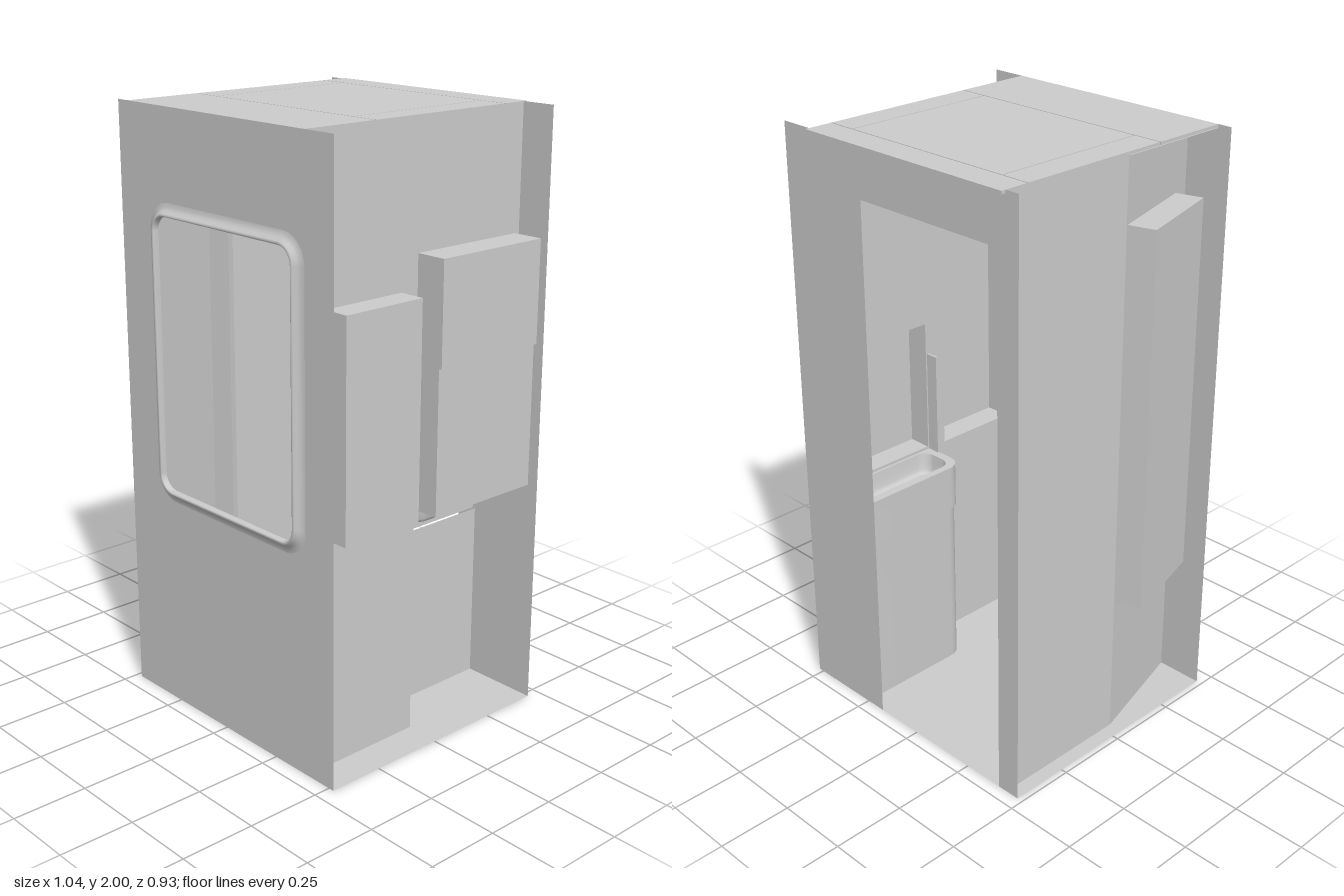
import * as THREE from 'three';

const mat = new THREE.MeshStandardMaterial({ color: 0xcccccc, side: THREE.DoubleSide });
const FRONT = 0.443, BACK = -0.453, LEFT = 0.40, RIGHT = -0.43;

function mesh(name, geometry, parent) {
  const m = new THREE.Mesh(geometry, mat);
  m.name = name;
  parent.add(m);
  return m;
}

// Corner points of a rounded rectangle, anticlockwise
function roundRect(x0, y0, x1, y1, r, n = 6) {
  const pts = [];
  [[x1 - r, y1 - r], [x0 + r, y1 - r], [x0 + r, y0 + r], [x1 - r, y0 + r]].forEach(([cx, cy], q) => {
    for (let i = 0; i <= n; i++) {
      const a = (q + i / n) * Math.PI / 2;
      pts.push(new THREE.Vector2(cx + r * Math.cos(a), cy + r * Math.sin(a)));
    }
  });
  return pts;
}

const rect = (x0, y0, x1, y1) => [[x0, y0], [x1, y0], [x1, y1], [x0, y1]].map(p => new THREE.Vector2(...p));

function sheet(outline, holes = []) {
  const s = new THREE.Shape(outline);
  holes.forEach(h => s.holes.push(new THREE.Path(h)));
  return new THREE.ShapeGeometry(s);
}

// Joins rows of points into a surface
function loft(rows, closed) {
  const n = rows[0].length, idx = [];
  for (let j = 0; j < rows.length - 1; j++) {
    for (let i = 0; i < (closed ? n : n - 1); i++) {
      const a = j * n + i, b = j * n + (i + 1) % n;
      idx.push(a, b, b + n, a, b + n, a + n);
    }
  }
  const g = new THREE.BufferGeometry().setFromPoints(rows.flat());
  g.setIndex(idx);
  g.computeVertexNormals();
  return g;
}

// Lofts a rounded rectangle through [outset, height, radius] steps
function rimLoft([x0, y0, x1, y1], steps) {
  return loft(steps.map(([o, z, r]) =>
    roundRect(x0 - o, y0 - o, x1 + o, y1 + o, r).map(p => new THREE.Vector3(p.x, p.y, z))), true);
}

// Local frame along a wall: x runs from the first to the second point, +z is outside
function wallFrame(name, x0, z0, x1, z1, parent) {
  const g = new THREE.Group();
  g.name = name;
  g.position.set(x0, 0, z0);
  g.rotation.y = Math.atan2(z0 - z1, x1 - x0);
  parent.add(g);
  return g;
}

// Box bulging outwards from a wall, open towards the room
function recess(name, u0, u1, y0, y1, depth, parent) {
  const g = new THREE.BoxGeometry(u1 - u0, y1 - y0, depth);
  g.setIndex(Array.from(g.index.array).slice(0, 30));
  mesh(name, g, parent).position.set((u0 + u1) / 2, (y0 + y1) / 2, depth / 2);
}

// Horizontal sheet whose shape is drawn as (x, -z)
function flat(name, geometry, y, parent) {
  const m = mesh(name, geometry, parent);
  m.rotation.x = -Math.PI / 2;
  m.position.y = y;
}

// Vertical sheet following a plan path
function upright(path, y0, y1) {
  return loft([y0, y1].map(y => path.map(p => new THREE.Vector3(p.x, y, p.y))), false);
}

export function createModel() {
  const model = new THREE.Group();
  model.name = 'washroomCabin';

  // Floor
  flat('floor', sheet(rect(-0.48, -FRONT, 0.52, -BACK)), 0, model);

  // Front wall with window and raised window surround
  const win = [-0.29, 0.765, 0.355, 1.665];
  const front = wallFrame('front', 0, FRONT, 1, FRONT, model);
  mesh('frontWall', sheet(rect(-0.48, 0, 0.52, 2), [roundRect(...win, 0.05)]), front);
  mesh('windowSurround', rimLoft(win, [
    [0.042, 0, 0.09], [0.03, 0.002, 0.08], [0.02, 0.009, 0.07], [0.012, 0.018, 0.062],
    [0.007, 0.021, 0.057], [0.002, 0.019, 0.052], [0, 0.012, 0.05], [0, 0, 0.05]]), front);

  // Back wall with doorway, running from the left edge to the right edge
  const back = wallFrame('back', 0.52, BACK, -0.48, BACK, model);
  const d0 = 0.345, d1 = 0.915, top = 1.83;
  mesh('backWall', sheet([[0, 0], [d0, 0], [d0, top], [d1 - 0.03, top], [d1 - 0.009, top - 0.009],
    [d1, top - 0.03], [d1, 0], [1, 0], [1, 2], [0, 2]].map(p => new THREE.Vector2(...p))), back);

  // Left wall with shelf recess and washstand recess
  const left = wallFrame('left', LEFT, FRONT, LEFT, BACK, model);
  const len = FRONT - BACK, b0 = 0.448, b1 = 0.878;
  mesh('leftWall', sheet([[0, 0], [b0, 0], [b0, 0.77], [len, 0.77], [len, 2], [0, 2]]
    .map(p => new THREE.Vector2(...p)),
  [rect(0.077, 0.771, 0.381, 1.48), rect(b0 + 0.01, 0.78, b1, 1.24)]), left);
  recess('shelfRecess', 0.077, 0.381, 0.771, 1.48, 0.088, left);
  recess('washstandRecess', b0, b1, 0.77, 1.25, 0.096, left);
  recess('upperCabinet', b0, b1, 1.25, 1.59, 0.107, left);

  // Right wall: straight part, then a slanted part with a tall recess
  const bend = 0.04, slantX = -0.316;
  const right = wallFrame('right', RIGHT, BACK, RIGHT, bend, model);
  mesh('rightWall', sheet(rect(0, 0, bend - BACK, 2)), right);
  const slant = wallFrame('slantedRight', RIGHT, bend, slantX, FRONT, model);
  mesh('slantedWall', sheet(rect(0, 0, Math.hypot(slantX - RIGHT, FRONT - bend), 2),
    [roundRect(0.025, 0.51, 0.325, 1.76, 0.04)]), slant);
  recess('tallRecess', 0.005, 0.345, 0.49, 1.78, 0.093, slant);

  // Washstand: curved skirt, slightly wider apron, counter with bowl
  const stand = new THREE.Group();
  stand.name = 'washstand';
  model.add(stand);
  const plan = x => {
    const pts = [new THREE.Vector2(LEFT, -0.005)], r = 0.055;
    for (let i = 0; i <= 8; i++) {
      const a = i / 8 * Math.PI / 2;
      pts.push(new THREE.Vector2(x + r - r * Math.sin(a), -0.005 - r + r * Math.cos(a)));
    }
    return [...pts, new THREE.Vector2(x, BACK)];
  };
  const apron = plan(0.24);
  mesh('skirt', upright(plan(0.25), 0, 0.61), stand);
  mesh('apron', upright(apron, 0.61, 0.77), stand);
  const bowl = [0.265, 0.035, 0.392, 0.385];
  flat('counter', sheet([...apron, new THREE.Vector2(LEFT, BACK)].map(p => new THREE.Vector2(p.x, -p.y)),
    [roundRect(...bowl, 0.04)]), 0.77, stand);
  flat('bowl', rimLoft(bowl, [[0, 0, 0.04], [-0.004, -0.03, 0.038], [-0.008, -0.055, 0.036],
    [-0.013, -0.066, 0.032], [-0.022, -0.07, 0.025]]), 0.77, stand);
  flat('bowlBottom', sheet(roundRect(bowl[0] + 0.022, bowl[1] + 0.022, bowl[2] - 0.022, bowl[3] - 0.022, 0.025)),
    0.70, stand);
  mesh('drain', new THREE.CylinderGeometry(0.02, 0.013, 0.02, 16), stand).position.set(0.33, 0.692, -0.21);
  mesh('splashPanel', new THREE.BoxGeometry(0.045, 0.36, 0.008), stand).position.set(0.378, 0.95, -0.006);

  // Low ledge along the foot of the front wall
  const ledge = [[FRONT - 0.002, 0.265], [0.405, 0.265], [0.37, 0.19], [0.37, 0]];
  const ledgeRow = x => ledge.map(([z, y]) => new THREE.Vector3(x(z), y, z));
  const slope = (slantX - RIGHT) / (FRONT - bend);
  const ledgeGeo = loft([ledgeRow(() => LEFT - 0.002), ledgeRow(z => RIGHT + (z - bend) * slope)], false)
    .toNonIndexed();
  ledgeGeo.computeVertexNormals();
  mesh('footLedge', ledgeGeo, model);

  // Ceiling sheet and roof panels separated by narrow grooves
  flat('ceiling', sheet(rect(RIGHT, -FRONT, LEFT, -BACK)), 1.988, model);
  const roof = new THREE.Group();
  roof.name = 'roof';
  model.add(roof);
  const gap = 0.002;
  [[RIGHT, -0.468, LEFT, -0.369 - gap], [RIGHT, 0.176 + gap, LEFT, FRONT],
    [RIGHT, -0.369 + gap, -0.331 - gap, 0.176 - gap], [-0.331 + gap, -0.369 + gap, 0.303 - gap, 0.176 - gap],
    [0.303 + gap, -0.369 + gap, LEFT, 0.176 - gap]].forEach(([x0, z0, x1, z1]) => {
    mesh('roofPanel', new THREE.BoxGeometry(x1 - x0, 0.01, z1 - z0), roof)
      .position.set((x0 + x1) / 2, 1.995, (z0 + z1) / 2);
  });

  return model;
}
